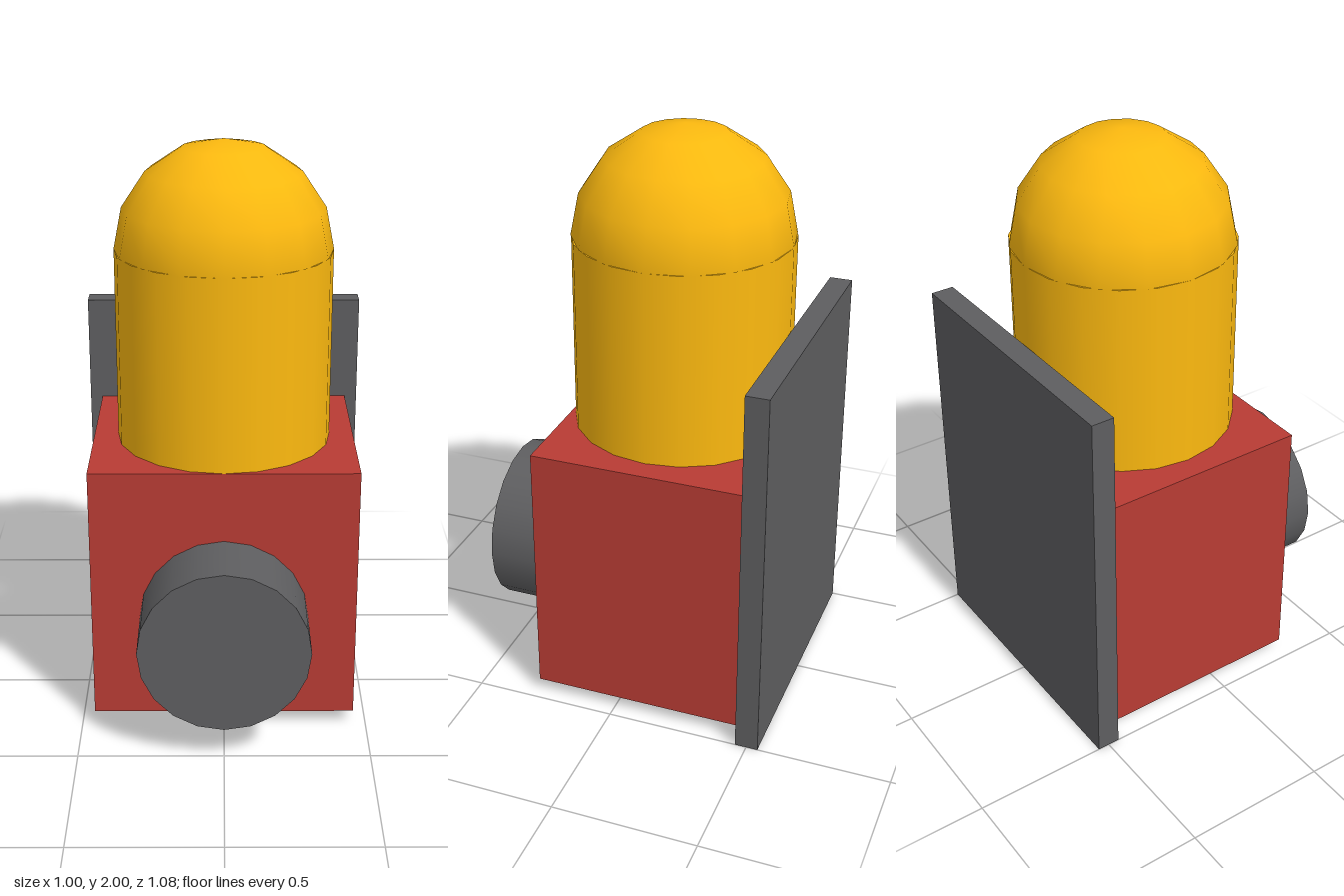
import * as THREE from 'three';

const material = (color) => new THREE.MeshStandardMaterial({ color });

export function createModel() {
  const model = new THREE.Group();
  const red = material(0xb83c34);
  const yellow = material(0xfcb90f);
  const grey = material(0x5e5e60);

  const add = (name, geometry, mat, x, y, z) => {
    const mesh = new THREE.Mesh(geometry, mat);
    mesh.name = name;
    mesh.position.set(x, y, z);
    model.add(mesh);
    return mesh;
  };

  // Upright mounting plate at the back
  add('backPlate', new THREE.BoxGeometry(1, 1.333, 0.08), grey, 0, 0.667, -0.5);

  // Square housing in front of the plate
  add('housing', new THREE.BoxGeometry(0.912, 0.912, 0.748), red, 0, 0.502, -0.086);

  // Round knob on the front face
  const knob = add('frontKnob', new THREE.CylinderGeometry(0.29, 0.29, 0.252, 20), grey, 0, 0.42, 0.414);
  knob.rotation.x = Math.PI / 2;

  // Lamp: cylinder with a slightly coarser hemispherical cap
  const radius = 0.373, base = 0.958, shoulder = 1.627;
  add('lampBody', new THREE.CylinderGeometry(radius, radius, shoulder - base, 20),
    yellow, 0, (base + shoulder) / 2, -0.085);
  add('lampDome', new THREE.SphereGeometry(radius, 16, 4, 0, Math.PI * 2, 0, Math.PI / 2),
    yellow, 0, shoulder, -0.085);

  return model;
}
